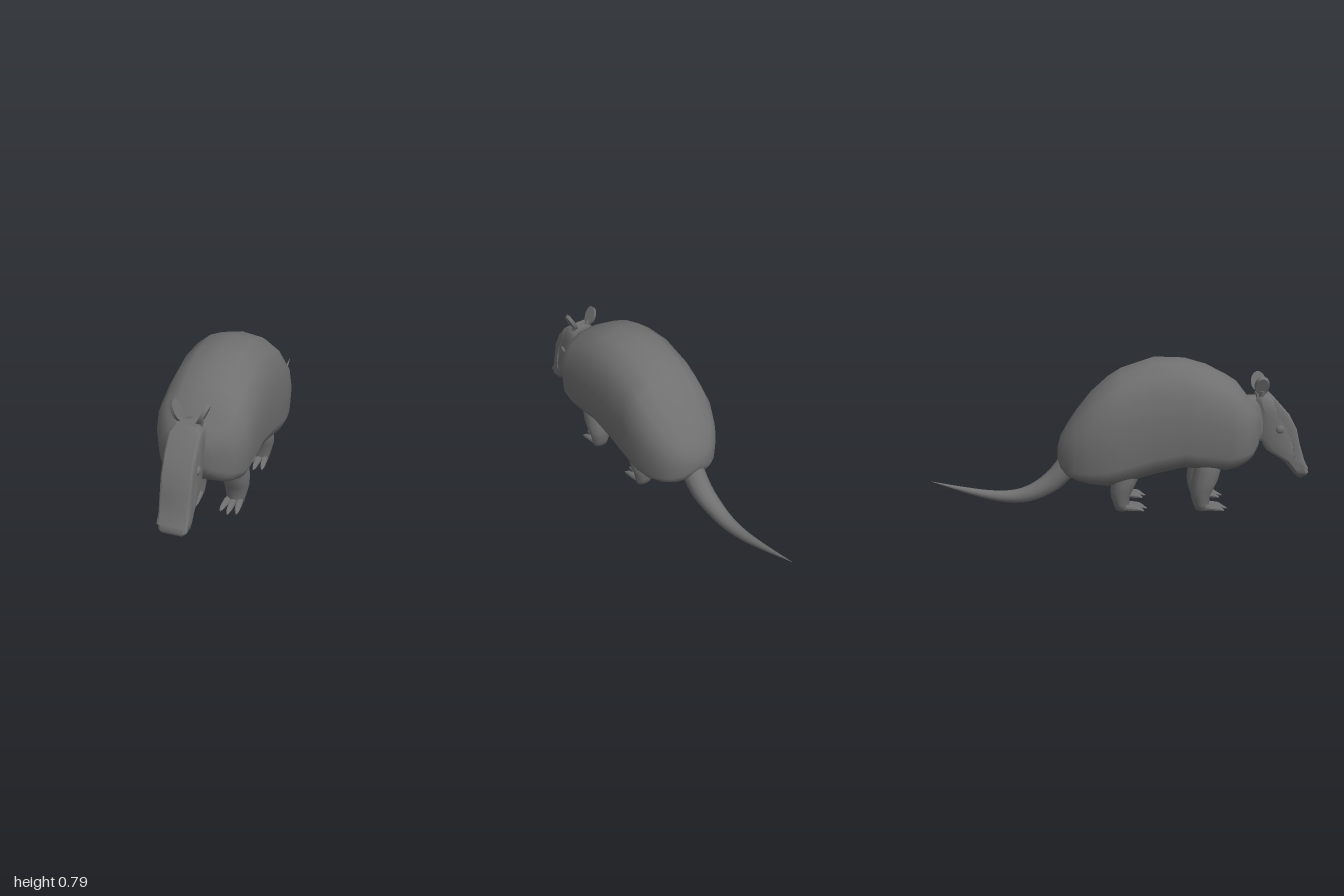
import * as THREE from 'three';
import { toCreasedNormals } from 'three/addons/utils/BufferGeometryUtils.js';

const V = (x, y, z) => new THREE.Vector3(x, y, z);
const material = new THREE.MeshStandardMaterial({ color: 0x707070 });

// Skin a list of equal-sized rings and close both ends, facing outwards
function loft(rings) {
  const n = rings[0].length, last = rings.length - 1;
  const pts = rings.flat(), index = [];
  for (let i = 0; i < last; i++) {
    for (let j = 0; j < n; j++) {
      const a = i * n + j, b = i * n + (j + 1) % n;
      index.push(a, b, b + n, a, b + n, a + n);
    }
  }
  for (const i of [0, last]) {
    const c = pts.length;
    pts.push(rings[i].reduce((s, p) => s.add(p), V(0, 0, 0)).divideScalar(n));
    for (let j = 0; j < n; j++) {
      const a = i * n + j, b = i * n + (j + 1) % n;
      index.push(c, ...(i ? [a, b] : [b, a]));
    }
  }
  let volume = 0;
  for (let k = 0; k < index.length; k += 3) {
    volume += pts[index[k]].dot(V(0, 0, 0).crossVectors(pts[index[k + 1]], pts[index[k + 2]]));
  }
  if (volume < 0) index.reverse();
  const geometry = new THREE.BufferGeometry().setFromPoints(pts);
  geometry.setIndex(index);
  geometry.computeVertexNormals();
  return geometry;
}

// Ring of n points, each placed by a rule of cosine and sine
function ring(n, place) {
  return Array.from({ length: n }, (_, j) => {
    const a = (j / n) * Math.PI * 2;
    return place(Math.cos(a), Math.sin(a));
  });
}

const power = (v, e) => Math.sign(v) * Math.abs(v) ** e;

function mesh(name, geometry, parent) {
  const m = new THREE.Mesh(geometry, material);
  m.name = name;
  parent.add(m);
  return m;
}

// Shell sections: z, top, bottom, half width
function shellGeometry() {
  const sections = [
    [0.735, 0.48, 0.37, 0.05], [0.725, 0.52, 0.325, 0.1], [0.69, 0.565, 0.277, 0.165],
    [0.66, 0.6, 0.253, 0.195], [0.61, 0.665, 0.23, 0.225], [0.555, 0.7, 0.215, 0.231],
    [0.447, 0.756, 0.22, 0.235], [0.335, 0.788, 0.23, 0.236], [0.18, 0.793, 0.193, 0.237],
    [0.01, 0.735, 0.145, 0.239], [-0.06, 0.69, 0.13, 0.237], [-0.15, 0.606, 0.138, 0.226],
    [-0.23, 0.504, 0.157, 0.19], [-0.275, 0.435, 0.175, 0.15], [-0.31, 0.375, 0.21, 0.1],
    [-0.325, 0.32, 0.25, 0.05],
  ];
  return loft(sections.map(([z, top, bottom, w]) => ring(16, (c, s) => {
    const e = s > 0 ? 0.83 : 0.47;
    return V(w * power(c, e), (top + bottom) / 2 + power(s, e) * (top - bottom) / 2, z);
  })));
}

// Horizontal slices through the head: y, front z, back z, half width
const sliceLoft = (slices, corners) => toCreasedNormals(loft(slices.map(([y, front, back, w]) =>
  corners.map(([x, t]) => V(x * w, y, back + t * (front - back))))), 0.65);

function skullGeometry() {
  return sliceLoft([
    [0.6, 0.775, 0.715, 0.051], [0.575, 0.8, 0.712, 0.07], [0.5, 0.865, 0.72, 0.073],
    [0.39, 0.915, 0.737, 0.073], [0.306, 0.94, 0.772, 0.072], [0.247, 0.965, 0.866, 0.072],
    [0.207, 0.993, 0.9, 0.072], [0.18, 1, 0.92, 0.069], [0.165, 0.995, 0.933, 0.058],
    [0.15, 0.975, 0.95, 0.043],
  ], [[0.8, 1], [1, 0.8], [1, 0.25], [0.75, 0], [-0.75, 0], [-1, 0.25], [-1, 0.8], [-0.8, 1]]);
}

// Shield covering the forehead and the bridge of the snout
function faceShieldGeometry() {
  return sliceLoft([
    [0.605, 0.782, 0.755, 0.054], [0.575, 0.814, 0.8, 0.074], [0.5, 0.882, 0.823, 0.077],
    [0.42, 0.925, 0.875, 0.077], [0.34, 0.945, 0.91, 0.076], [0.25, 0.974, 0.92, 0.076],
    [0.207, 0.997, 0.98, 0.074],
  ], [[0.84, 1], [0.95, 0.85], [1, 0.5], [1, 0], [-1, 0], [-1, 0.5], [-0.95, 0.85], [-0.84, 1]]);
}

// Tail: tapering tube that sags to the ground and lifts at the tip
function tailGeometry() {
  const path = [
    [0, 0.24, -0.25, 0.062], [0, 0.125, -0.352, 0.057], [-0.008, 0.062, -0.46, 0.046],
    [-0.01, 0.038, -0.56, 0.037], [-0.01, 0.044, -0.68, 0.027], [-0.012, 0.076, -0.83, 0.015],
    [-0.015, 0.122, -1, 0.001],
  ];
  const curve = new THREE.CatmullRomCurve3(path.map(([x, y, z]) => V(x, y, z)));
  const steps = 18, rings = [];
  for (let i = 0; i <= steps; i++) {
    const t = i / steps, p = curve.getPoint(t), d = curve.getTangent(t);
    const f = t * (path.length - 1), k = Math.min(Math.floor(f), path.length - 2);
    const r = THREE.MathUtils.lerp(path[k][3], path[k + 1][3], f - k);
    rings.push(ring(12, (c, s) => V(p.x + c * r, p.y - s * r * d.z, p.z + s * r * d.y)));
  }
  return loft(rings);
}

// Claw sections: distance along, half width, height; the sole stays on the ground
function clawGeometry() {
  const sections = [[0, 0.016, 0.032], [0.05, 0.018, 0.031], [0.105, 0.013, 0.022], [0.13, 0.004, 0.006]];
  return toCreasedNormals(loft(sections.map(([z, w, h]) =>
    ring(8, (c, s) => V(w * c, h / 2 + power(s, 0.7) * h / 2, z)))), 0.8);
}

// Leg with three splayed claws
function makeLeg(name, side, dz) {
  const leg = new THREE.Group();
  leg.name = name;
  // y, x centre, half width, front z, back z
  const rings = [
    [0.3, 0.108, 0.068, 0.545, 0.395], [0.22, 0.112, 0.07, 0.53, 0.387], [0.16, 0.114, 0.07, 0.515, 0.376],
    [0.11, 0.113, 0.066, 0.492, 0.372], [0.07, 0.11, 0.058, 0.475, 0.376], [0.03, 0.108, 0.05, 0.472, 0.388],
    [0, 0.108, 0.045, 0.465, 0.4],
  ];
  mesh('limb', loft(rings.map(([y, x, w, front, back]) => ring(12, (c, s) =>
    V(side * (x + c * w), y, dz + (front + back) / 2 + s * (front - back) / 2)))), leg);
  for (const u of [-1, 0, 1]) {
    const claw = mesh('claw', clawGeometry(), leg);
    claw.position.set(side * 0.107 + u * 0.027, 0, 0.435 + dz);
    claw.rotation.y = u * 0.13;
    claw.scale.z = u ? 0.88 : 1;
  }
  return leg;
}

export function createModel() {
  const model = new THREE.Group();
  model.name = 'armadillo';

  mesh('shell', shellGeometry(), model);
  mesh('head', skullGeometry(), model);
  mesh('faceShield', faceShieldGeometry(), model);
  mesh('tail', tailGeometry(), model);

  // Neck joins the head to the shell
  mesh('neck', loft([[0.62, 0.085], [0.68, 0.075], [0.76, 0.062]].map(([z, w]) =>
    ring(16, (c, s) => V(w * power(c, 0.7), 0.465 + 0.125 * power(s, 0.7), z)))), model);

  for (const side of [1, -1]) {
    const label = side > 0 ? 'left' : 'right';
    model.add(makeLeg(label + 'FrontLeg', side, 0));
    model.add(makeLeg(label + 'HindLeg', side, -0.42));

    // Ear: flat oval leaning outwards on a short stub
    const oval = new THREE.CylinderGeometry(0.05, 0.056, 0.018, 14);
    oval.rotateZ(-side * Math.PI / 2);
    oval.scale(1, 1, 0.7);
    const ear = mesh(label + 'Ear', toCreasedNormals(oval, 0.7), model);
    ear.position.set(side * 0.065, 0.647, 0.735);
    ear.rotation.z = -side * 0.42;
    const stub = mesh(label + 'EarBase', new THREE.CylinderGeometry(0.014, 0.02, 0.05, 8), model);
    stub.position.set(side * 0.045, 0.6, 0.738);
    stub.rotation.z = -side * 0.42;

    const eye = mesh(label + 'Eye', new THREE.SphereGeometry(0.023, 12, 8), model);
    eye.scale.x = 0.6;
    eye.position.set(side * 0.07, 0.42, 0.837);
  }
  return model;
}
